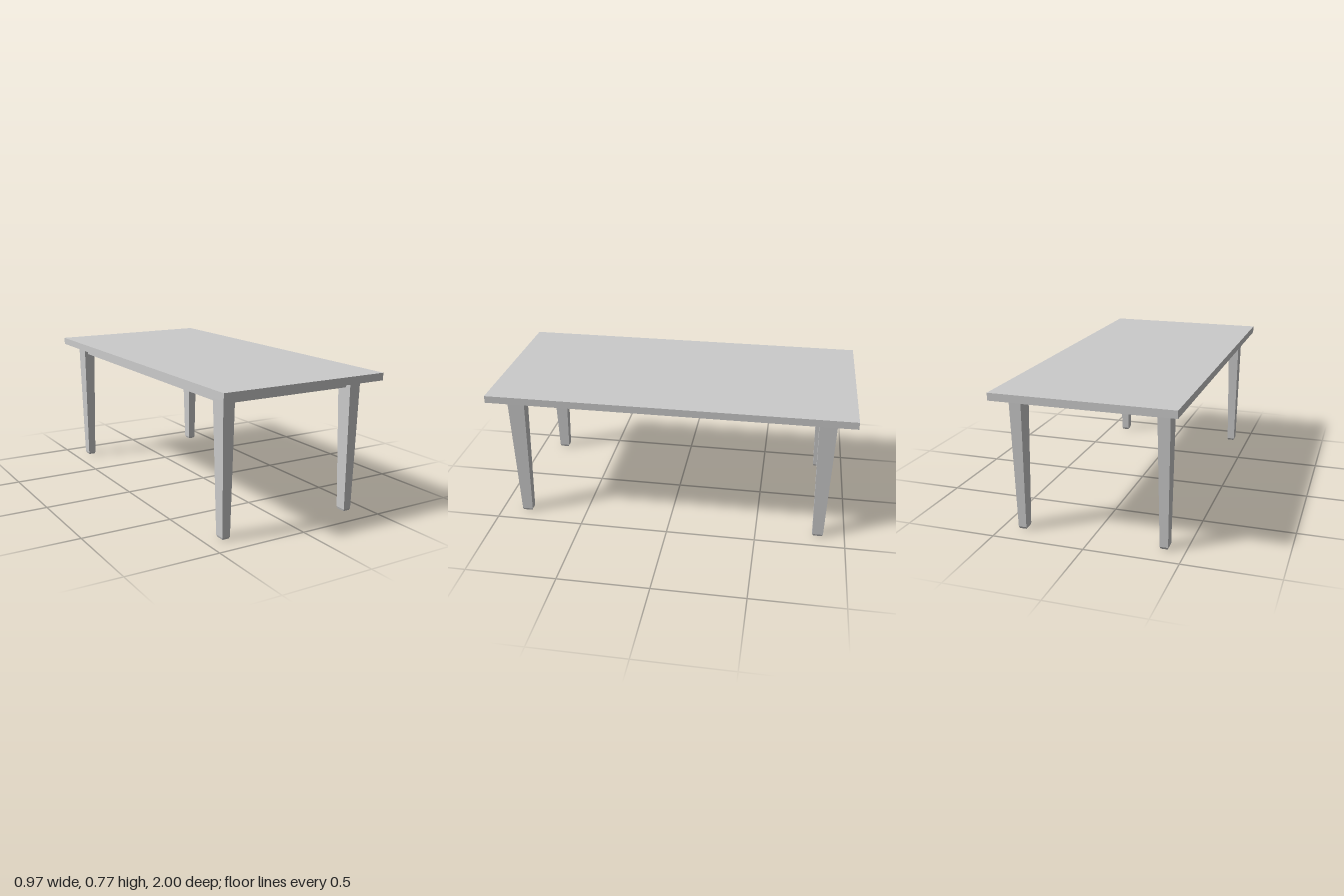
import * as THREE from 'three';

const LEG_X = 0.388, LEG_Z = 0.85, UNDERSIDE = 0.735;

// Tapered leg with a chamfered foot: [height, half width, half depth] per level
function legGeometry() {
  const levels = [[0, 0.018, 0.024], [0.012, 0.022, 0.03], [UNDERSIDE, 0.033, 0.048]];
  const geometry = new THREE.BoxGeometry(2, 2, 2, 1, 2, 1);
  const p = geometry.attributes.position;
  for (let i = 0; i < p.count; i++) {
    const [y, w, d] = levels[Math.round(p.getY(i)) + 1];
    p.setXYZ(i, p.getX(i) * w, y, p.getZ(i) * d);
  }
  geometry.computeVertexNormals();
  return geometry;
}

export function createModel() {
  const table = new THREE.Group();
  table.name = 'table';
  const material = new THREE.MeshStandardMaterial({ color: 0xcccccc, flatShading: true });

  function add(name, geometry, x, y, z) {
    const mesh = new THREE.Mesh(geometry, material);
    mesh.name = name;
    mesh.position.set(x, y, z);
    table.add(mesh);
  }

  // Top
  add('tableTop', new THREE.BoxGeometry(0.966, 0.04, 2), 0, UNDERSIDE + 0.02, 0);

  // Four legs
  const leg = legGeometry();
  for (const [sz, end] of [[1, 'front'], [-1, 'back']]) {
    for (const [sx, side] of [[1, 'Left'], [-1, 'Right']]) {
      add(`${end}${side}Leg`, leg, sx * LEG_X, 0, sz * LEG_Z);
    }
  }

  // Aprons join the legs at both ends and along one long side; the other long side is open
  const height = 0.048, thickness = 0.024, y = UNDERSIDE - height / 2;
  const endApron = new THREE.BoxGeometry(2 * LEG_X, height, thickness);
  add('frontApron', endApron, 0, y, LEG_Z);
  add('backApron', endApron, 0, y, -LEG_Z);
  add('rightApron', new THREE.BoxGeometry(thickness, height, 2 * LEG_Z), -LEG_X, y, 0);

  return table;
}
